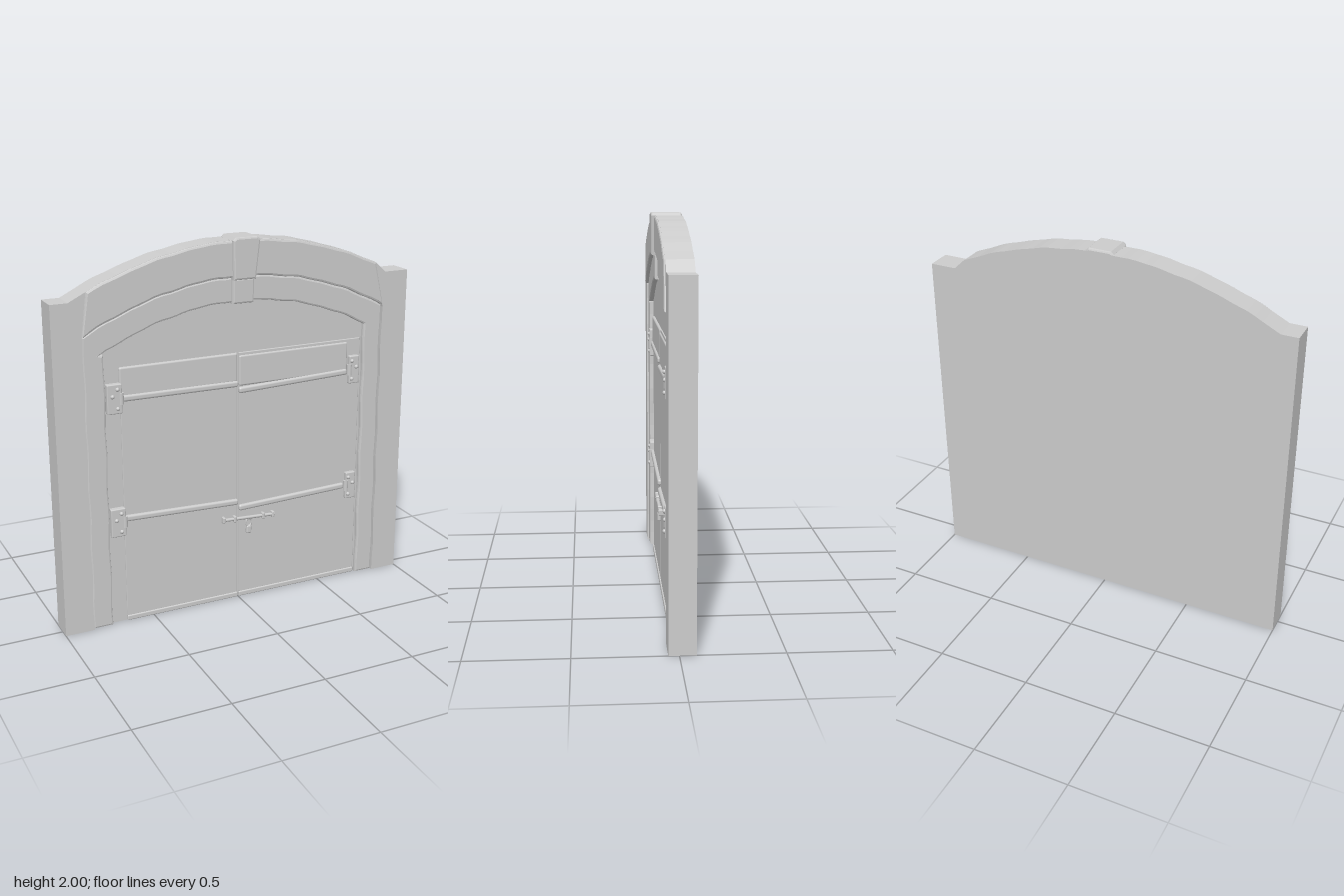
import * as THREE from 'three';
import { RoundedBoxGeometry } from 'three/addons/geometries/RoundedBoxGeometry.js';

const BACK = -0.08, DOOR = 0.018;
const mat = new THREE.MeshStandardMaterial({ color: 0xcccccc });

// points along a shallow arch y = top - k x^2, from x0 to x1
function arch(top, k, x0, x1, wobble = 0, n = 40) {
  return Array.from({ length: n + 1 }, (_, i) => {
    const x = x0 + (x1 - x0) * i / n;
    return [x, top - k * x * x + wobble * (Math.sin(x * 23) + Math.sin(x * 41 + 1))];
  });
}

// side of an opening, slightly worn, from y0 to y1
function jamb(x, y0, y1, n = 20) {
  return Array.from({ length: n + 1 }, (_, i) => {
    const y = y0 + (y1 - y0) * i / n;
    return [x + 0.003 * Math.sin(y * 19 + x * 5), y];
  });
}

export function createModel() {
  const root = new THREE.Group();

  const add = (name, geometry, x = 0, y = 0, z = 0, parent = root) => {
    const m = new THREE.Mesh(geometry, mat);
    m.name = name;
    m.position.set(x, y, z);
    parent.add(m);
    return m;
  };

  // flat slab cut from an outline, optionally with softened edges
  const slab = (name, pts, z0, z1, bevel = 0) => {
    const shape = new THREE.Shape(pts.map(p => new THREE.Vector2(...p)));
    const geo = new THREE.ExtrudeGeometry(shape, {
      depth: z1 - z0 - 2 * bevel, bevelEnabled: bevel > 0, bevelThickness: bevel,
      bevelSize: bevel, bevelOffset: -bevel, bevelSegments: 2
    });
    return add(name, geo, 0, 0, z0 + bevel);
  };

  const box = (name, x, y, z, w, h, d, r = 0.006, parent = root) =>
    add(name, new RoundedBoxGeometry(w, h, d, 2, Math.min(r, d / 2.1)), x, y, z, parent);

  // silhouette along the top of the wall
  const crown = [[-1, 1.75], [-0.91, 1.75], [-0.87, 1.77],
    ...arch(1.988, 0.285, -0.82, 0.8, 0.0015), [0.86, 1.75], [1, 1.75]];

  // back slab carrying the recessed door plane
  slab('wall', [[-1, 0], ...crown, [1, 0]].reverse(), BACK, DOOR);

  // raised masonry around the opening
  const outerOpening = [...jamb(-0.845, 0, 1.56), ...arch(1.8, 0.318, -0.845, 0.85, 0.002),
    ...jamb(0.85, 1.56, 0)];
  slab('masonryFace', [[-1, 0], ...crown, [1, 0], ...outerOpening.slice().reverse()].reverse(),
    DOOR - 0.02, 0.052);

  // arch stones standing slightly proud
  slab('archStones', [...arch(1.8, 0.318, -0.85, 0.85, 0.002),
    ...arch(1.988, 0.285, -0.82, 0.8, 0.0015).reverse()], DOOR, 0.062, 0.012);

  // inner stepped moulding
  const innerOpening = [...jamb(-0.735, 0, 1.47), ...arch(1.67, 0.35, -0.76, 0.745, 0.002),
    ...jamb(0.745, 1.47, 0)];
  slab('innerMoulding', [...outerOpening, ...innerOpening.slice().reverse()].reverse(),
    DOOR - 0.02, 0.043, 0.01);

  // keystone: large head and smaller foot
  slab('keystoneHead', [[-0.047, 1.785], [0.078, 1.785], [0.102, 1.985], [0.085, 2],
    [-0.035, 2], [-0.05, 1.985]], BACK, 0.078, 0.01);
  slab('keystoneFoot', [[-0.045, 1.66], [0.075, 1.66], [0.077, 1.79], [-0.045, 1.79]],
    DOOR - 0.02, 0.06, 0.01);

  // door leaves: s is the side, heights differ a little between the two
  const leaves = [
    { s: -1, name: 'rightLeaf', edge: 0.65, rail: [1.24, 1.395], straps: [[1.23, 1.235], [0.567, 0.588]],
      plates: [1.24, 0.575], px: 0.688, pw: 0.08 },
    { s: 1, name: 'leftLeaf', edge: 0.735, rail: [1.215, 1.38], straps: [[1.193, 1.215], [0.53, 0.55]],
      plates: [1.225, 0.55], px: 0.69, pw: 0.06 }
  ];
  for (const d of leaves) {
    const leaf = new THREE.Group();
    leaf.name = d.name;
    root.add(leaf);
    const w = d.edge - 0.004, mid = d.s * (d.edge / 2 + 0.002);
    box('doorPanel', mid, 0.71, DOOR, w, 1.37, 0.012, 0.004, leaf);
    box('topRail', d.s * 0.33, (d.rail[0] + d.rail[1]) / 2, DOOR + 0.002, 0.65,
      d.rail[1] - d.rail[0], 0.022, 0.01, leaf);
    box('bottomSill', mid, 0.014, DOOR, w, 0.028, 0.026, 0.006, leaf);

    // long hinge straps, rising slightly towards the jamb
    for (const [y0, y1] of d.straps) {
      const strap = box('hingeStrap', d.s * 0.327, (y0 + y1) / 2, DOOR + 0.01, 0.65, 0.034, 0.026, 0.012, leaf);
      strap.rotation.z = d.s * Math.atan2(y1 - y0, 0.65);
    }

    // hinge plates with rivets and a knuckle
    for (const y of d.plates) {
      box('hingePlate', d.s * d.px, y, DOOR + 0.012, d.pw, 0.155, 0.034, 0.006, leaf);
      for (const [dx, dy] of [[-0.015, 0.05], [0.012, 0.015], [-0.015, -0.05]])
        add('rivet', new THREE.SphereGeometry(0.011, 10, 8), d.s * (d.px + dx), y + dy, DOOR + 0.029, leaf);
      add('hingeKnuckle', new THREE.CylinderGeometry(0.014, 0.014, 0.06, 12),
        d.s * (d.px - d.pw / 2 + 0.004), y, DOOR + 0.02, leaf);
    }
  }

  // sliding bolt across the seam
  const bolt = new THREE.Group();
  bolt.name = 'bolt';
  bolt.position.set(0.06, 0.468, DOOR + 0.02);
  bolt.rotation.z = -0.05;
  root.add(bolt);
  add('boltBar', new THREE.CylinderGeometry(0.009, 0.009, 0.31, 10), 0, 0, 0, bolt).rotation.z = Math.PI / 2;
  for (const x of [-0.15, -0.085, 0.085, 0.145])
    box('boltKeeper', x, 0, -0.006, 0.016, 0.034, 0.034, 0.005, bolt);

  // hanging hasp and padlock
  add('hasp', new THREE.TorusGeometry(0.016, 0.005, 8, 16), 0, -0.028, 0, bolt).scale.y = 1.5;
  box('padlock', 0.002, -0.07, -0.002, 0.03, 0.046, 0.02, 0.008, bolt);

  return root;
}
